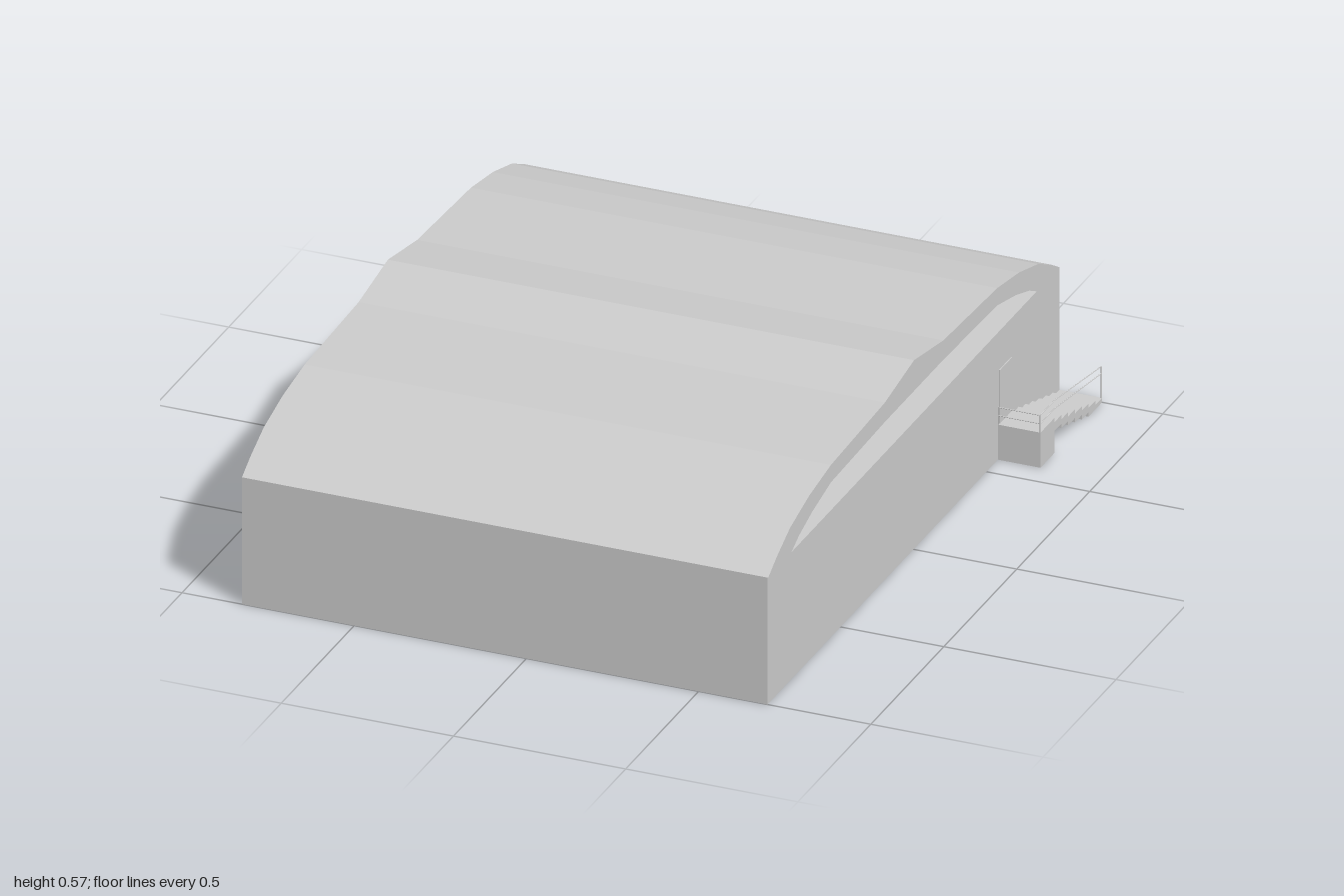
import * as THREE from 'three';

const material = new THREE.MeshStandardMaterial({ color: 0xcccccc, flatShading: true });
const LEFT = -0.826, WALL = 0.7, OUTER = 0.824;

export function createModel() {
  const model = new THREE.Group();
  const add = (name, geometry, parent = model) => {
    const mesh = new THREE.Mesh(geometry, material);
    mesh.name = name;
    parent.add(mesh);
    return mesh;
  };
  // Box given by its minimum and maximum corners
  const box = (name, [x0, y0, z0], [x1, y1, z1], parent) => {
    const mesh = add(name, new THREE.BoxGeometry(x1 - x0, y1 - y0, z1 - z0), parent);
    mesh.position.set((x0 + x1) / 2, (y0 + y1) / 2, (z0 + z1) / 2);
    return mesh;
  };

  // Main hall
  box('hall', [LEFT, 0, -1], [WALL, 0.38, 1]);

  // Arched roof with a raised ridge, open through its ends
  const mirror = (half) => [...half, ...half.slice(0, -1).reverse().map(([z, y]) => [-z, y])];
  const outer = mirror([[1, 0.38], [0.94, 0.416], [0.85, 0.46], [0.72, 0.495], [0.57, 0.518], [0.2, 0.533], [0, 0.567]]);
  const inner = mirror([[0.845, 0.38], [0.79, 0.408], [0.7, 0.437], [0.57, 0.466], [0.2, 0.475], [0, 0.475]]);
  const profile = new THREE.Shape([...outer, ...inner.reverse()].map(([z, y]) => new THREE.Vector2(z, y)));
  const roofGeometry = new THREE.ExtrudeGeometry(profile, { depth: WALL + 0.002 - LEFT, bevelEnabled: false });
  roofGeometry.rotateY(Math.PI / 2);
  add('roof', roofGeometry).position.x = LEFT;

  // Side door above the landing
  box('door', [WALL, 0.105, -0.67], [WALL + 0.003, 0.265, -0.585]);

  // Landing and stairs with a stepped underside
  const stairs = new THREE.Group();
  stairs.name = 'stairs';
  model.add(stairs);
  const landingEnd = -0.675, count = 7, run = (1 + landingEnd) / count, rise = 0.105 / (count + 1);
  box('landing', [WALL, 0, landingEnd], [OUTER, 0.105, -0.578], stairs);
  for (let i = 0; i < count; i++) {
    const top = 0.105 - rise * (i + 1), z = landingEnd - run * i;
    box('step', [WALL, Math.max(0, top - 2 * rise), z - run], [OUTER, top, z], stairs);
  }

  // Handrail: two bars around the landing and down the stairs, with posts
  const railing = new THREE.Group();
  railing.name = 'railing';
  model.add(railing);
  const r = 0.0015, x = OUTER - r, back = -0.58;
  const bar = (name, a, b) => {
    const from = new THREE.Vector3(...a), to = new THREE.Vector3(...b);
    const mesh = add(name, new THREE.CylinderGeometry(r, r, from.distanceTo(to), 6), railing);
    mesh.position.copy(from).add(to).multiplyScalar(0.5);
    mesh.quaternion.setFromUnitVectors(new THREE.Vector3(0, 1, 0), to.sub(from).normalize());
  };
  for (const [high, low] of [[0.156, 0.108], [0.131, 0.087]]) {
    const path = [[WALL, high, back], [x, high, back], [x, high, landingEnd], [x, low, -0.998]];
    for (let i = 0; i < 3; i++) bar('rail', path[i], path[i + 1]);
  }
  bar('post', [x, 0.105, back], [x, 0.156, back]);
  bar('post', [WALL + r, 0.105, back], [WALL + r, 0.156, back]);
  bar('post', [x, rise, -0.998], [x, 0.108, -0.998]);

  return model;
}
